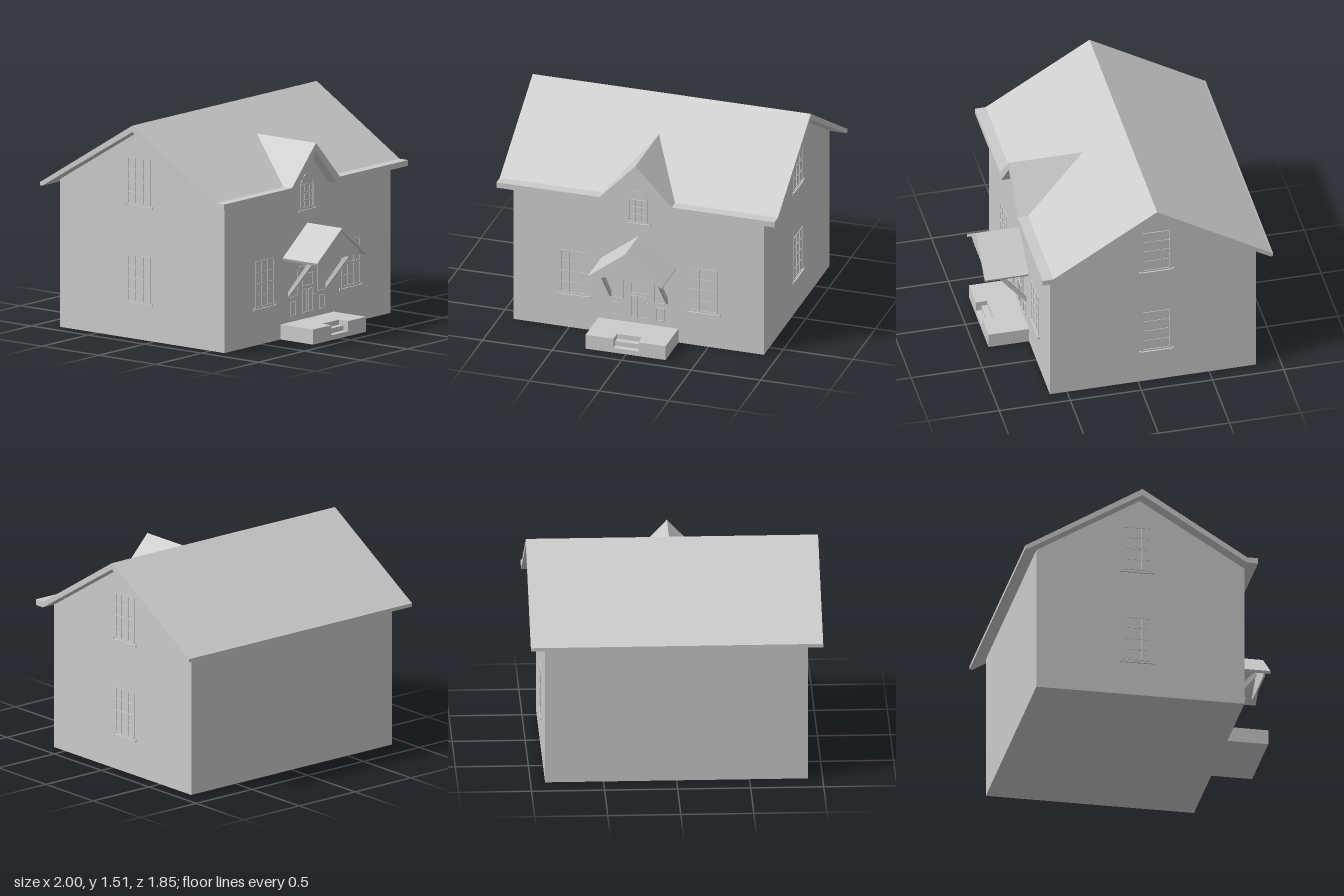
import * as THREE from 'three';

const mat = new THREE.MeshStandardMaterial({ color: 0xcccccc, flatShading: true });
const WALL = { x: 0.9, front: 0.62 };

function add(parent, name, geo, x = 0, y = 0, z = 0) {
  const m = new THREE.Mesh(geo, mat);
  m.name = name;
  m.position.set(x, y, z);
  parent.add(m);
  return m;
}

const shapeOf = pts => new THREE.Shape(pts.map(p => new THREE.Vector2(p[0], p[1])));
const extrude = (shape, depth) =>
  new THREE.ExtrudeGeometry(shape, { depth, bevelEnabled: false, curveSegments: 8 });

// Extrudes a (z, y) side profile across a width centred on x = 0
function sideways(pts, width) {
  return extrude(shapeOf(pts), width).rotateY(-Math.PI / 2).translate(width / 2, 0, 0);
}

// Box given by its extents
function block(parent, name, x0, x1, y0, y1, z0, z1) {
  return add(parent, name, new THREE.BoxGeometry(x1 - x0, y1 - y0, z1 - z0),
    (x0 + x1) / 2, (y0 + y1) / 2, (z0 + z1) / 2);
}

// Thin rectangular rim standing on z = 0
function rim(parent, name, x0, x1, y0, y1, t, d) {
  const s = shapeOf([[x0, y0], [x1, y0], [x1, y1], [x0, y1]]);
  s.holes.push(new THREE.Path([[x0 + t, y0 + t], [x0 + t, y1 - t], [x1 - t, y1 - t], [x1 - t, y0 + t]]
    .map(p => new THREE.Vector2(p[0], p[1]))));
  return add(parent, name, extrude(s, d));
}

// Window built facing +z, with its foot at y = 0
function makeWindow(name, w, h, rows, arched) {
  const g = new THREE.Group();
  g.name = name;
  const d = 0.005, t = 0.008, sill = w / 2 + 0.022;
  rim(g, 'windowFrame', -w / 2, w / 2, 0, h, t, d);
  for (const k of [-1, 1])
    block(g, 'glazingBarUpright', k * w / 6 - 0.003, k * w / 6 + 0.003, 0, h, 0, 0.004);
  for (let i = 1; i < rows; i++) {
    const r = i * 2 === rows ? 0.006 : 0.003;
    block(g, 'glazingBar', -w / 2, w / 2, h * i / rows - r, h * i / rows + r, 0, 0.004);
  }
  if (arched) {
    const arch = new THREE.Shape();
    arch.absarc(0, h, w / 2, 0, Math.PI, false);
    arch.absarc(0, h, w / 2 - t, Math.PI, 0, true);
    add(g, 'windowArch', extrude(arch, d));
  }
  // Sill with small upturned ends
  block(g, 'sill', -sill, sill, -0.02, -0.008, 0, 0.01);
  for (const k of [-1, 1])
    block(g, 'sillEnd', k * (sill - 0.006) - 0.006, k * (sill - 0.006) + 0.006, -0.008, 0, 0, 0.01);
  return g;
}

function makeRoof() {
  const g = new THREE.Group();
  g.name = 'roof';
  // Main pitched slab
  add(g, 'mainRoof', sideways([[0.62, 1.02], [0.62, 1.06], [-0.11, 1.51], [-0.91, 1.022],
    [-0.925, 1.015], [-0.925, 0.99], [-0.905, 0.99], [-0.11, 1.465]], 2));
  // Front eave that rises over the small gable
  add(g, 'frontEave', extrude(shapeOf([[-1, 1.02], [-0.225, 1.02], [0, 1.275], [0.225, 1.02], [1, 1.02],
    [1, 1.06], [0.26, 1.06], [0, 1.335], [-0.26, 1.06], [-1, 1.06]]), 0.075), 0, 0, 0.62);
  // Small gable running back into the main slope
  const A = [-0.26, 1.06, 0.62], B = [0.26, 1.06, 0.62], C = [0, 1.335, 0.62], D = [0, 1.335, 0.17];
  const geo = new THREE.BufferGeometry();
  geo.setAttribute('position', new THREE.Float32BufferAttribute(
    [A, B, C, A, C, D, B, D, C, A, D, B].flat(), 3));
  geo.computeVertexNormals();
  add(g, 'frontGable', geo);
  return g;
}

function makePorch() {
  const g = new THREE.Group();
  g.name = 'porch';
  // Landing with steps cut into its front
  block(g, 'landingRight', -0.29, -0.09, 0, 0.105, 0.62, 0.905);
  block(g, 'landingLeft', 0.09, 0.285, 0, 0.105, 0.62, 0.905);
  add(g, 'steps', sideways([[0.62, 0], [0.905, 0], [0.905, 0.035], [0.865, 0.035],
    [0.865, 0.07], [0.825, 0.07], [0.825, 0.105], [0.62, 0.105]], 0.18));

  // Canopy roof
  add(g, 'canopyRoof', extrude(shapeOf([[-0.27, 0.563], [-0.262, 0.545], [0, 0.752],
    [0.262, 0.545], [0.27, 0.563], [0, 0.77]]), 0.305), 0, 0, 0.62);
  // Canopy front with a scalloped lower edge
  const s = new THREE.Shape();
  const n = 9, w = 0.4 / n;
  s.moveTo(0, 0.755);
  s.lineTo(-0.235, 0.568);
  s.lineTo(-0.2, 0.568);
  for (let i = 0; i < n; i++) {
    const x = -0.2 + i * w;
    s.quadraticCurveTo(x + w / 2, 0.54, x + w, 0.568);
  }
  s.lineTo(0.235, 0.568);
  add(g, 'canopyFront', extrude(s, 0.012), 0, 0, 0.89);
  // Diagonal brackets
  for (const k of [-1, 1])
    add(g, 'canopyBracket', sideways([[0.62, 0.28], [0.84, 0.545], [0.84, 0.575],
      [0.805, 0.555], [0.62, 0.32]], 0.016), k * 0.203);
  return g;
}

function makeEntrance() {
  const g = new THREE.Group();
  g.name = 'entrance';
  const d = 0.006;
  // Stepped surround
  block(g, 'lintel', -0.09, 0.09, 0.47, 0.478, 0, d);
  for (const k of [-1, 1]) {
    block(g, 'surroundPost', k * 0.11 - 0.003, k * 0.11 + 0.003, 0.28, 0.46, 0, d);
    block(g, 'surroundLedge', k * 0.15 - 0.037, k * 0.15 + 0.037, 0.272, 0.28, 0, d);
    rim(g, 'sidePanel', k * 0.154 - 0.03, k * 0.154 + 0.03, 0.145, 0.243, 0.007, d);
    rim(g, 'doorPanel', k * 0.033 - 0.027, k * 0.033 + 0.027, 0.145, 0.31, 0.007, d);
  }
  rim(g, 'transom', -0.06, 0.06, 0.33, 0.42, 0.006, d);
  add(g, 'doorKnob', new THREE.SphereGeometry(0.006, 10, 8), 0.066, 0.265, 0.006);
  g.position.z = WALL.front;
  return g;
}

export function createModel() {
  const house = new THREE.Group();
  house.name = 'house';

  // Walls with end gables
  add(house, 'walls', sideways([[0.62, 0], [0.62, 1.02], [-0.11, 1.465],
    [-0.83, 1.03], [-0.83, 0]], WALL.x * 2));
  house.add(makeRoof(), makePorch(), makeEntrance());

  // Front windows
  for (const k of [-1, 1]) {
    const win = makeWindow('frontWindow', 0.2, 0.325, 4);
    win.position.set(k * 0.465, 0.26, WALL.front);
    house.add(win);
  }
  const attic = makeWindow('gableWindow', 0.14, 0.17, 3, true);
  attic.position.set(-0.005, 0.873, WALL.front);
  house.add(attic);

  // Two storeys of windows on each end wall
  for (const k of [-1, 1])
    for (const y of [0.26, 0.94]) {
      const win = makeWindow('sideWindow', 0.2, 0.325, 4);
      win.position.set(k * WALL.x, y, -0.13);
      win.rotation.y = k * Math.PI / 2;
      house.add(win);
    }
  return house;
}
